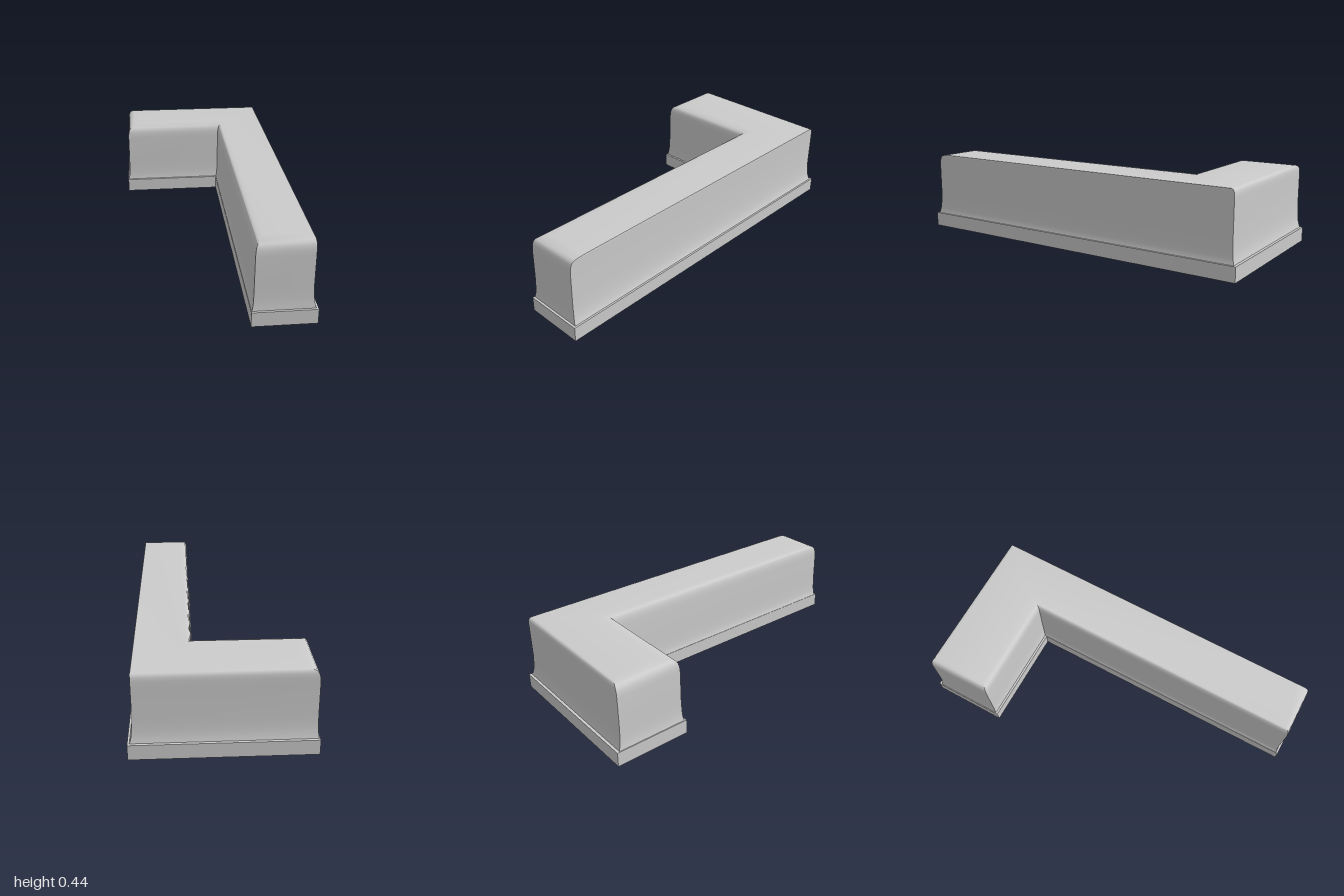
import * as THREE from 'three';
import { toCreasedNormals } from 'three/addons/utils/BufferGeometryUtils.js';

// Footprint lines of the L-shaped block
const X = { left: -0.455, inner: 0.13, right: 0.455 };
const Z = { back: -1, inner: -0.585, front: 1 };

// Heights of the body's rings, and how far each side steps in at each height
const LEVELS = [0.08, 0.09, 0.11, 0.14, 0.2, 0.37, 0.4, 0.42, 0.432, 0.438, 0.44];
const INSET = {
  right: [0.01, 0.014, 0.019, 0.023, 0.027, 0.027, 0.027, 0.027, 0.027, 0.027, 0.0285],
  back: [0.015, 0.018, 0.023, 0.027, 0.03, 0.03, 0.03, 0.031, 0.035, 0.042, 0.05],
  left: [0.005, 0.007, 0.01, 0.012, 0.013, 0.014, 0.016, 0.022, 0.032, 0.05, 0.09],
  front: [0.012, 0.013, 0.016, 0.018, 0.02, 0.02, 0.022, 0.027, 0.036, 0.055, 0.1],
  innerX: [0.002, 0.006, 0.009, 0.011, 0.012, 0.013, 0.015, 0.019, 0.025, 0.035, 0.06],
  innerZ: [0.012, 0.014, 0.017, 0.019, 0.021, 0.021, 0.023, 0.028, 0.037, 0.055, 0.1],
};

// Six corners of the L from its six side lines
function outline(left, right, back, front, innerX, innerZ) {
  return [[left, back], [right, back], [right, front], [innerX, front], [innerX, innerZ], [left, innerZ]];
}

// Body: mitred rings with a flared foot and rounded shoulders
function bodyGeometry() {
  const positions = [];
  const index = [];
  LEVELS.forEach((y, k) => {
    const ring = outline(
      X.left + INSET.left[k], X.right - INSET.right[k],
      Z.back + INSET.back[k], Z.front - INSET.front[k],
      X.inner + INSET.innerX[k], Z.inner - INSET.innerZ[k]);
    for (const [x, z] of ring) positions.push(x, y, z);
  });
  for (let k = 0; k < LEVELS.length - 1; k++) {
    for (let i = 0; i < 6; i++) {
      const a = k * 6 + i;
      const b = k * 6 + (i + 1) % 6;
      index.push(a, a + 6, b, b, a + 6, b + 6);
    }
  }
  // Flat top, fanned from the inner corner
  const top = (LEVELS.length - 1) * 6;
  for (const i of [4, 1, 0, 4, 0, 5, 4, 2, 1, 4, 3, 2]) index.push(top + i);
  const geometry = new THREE.BufferGeometry();
  geometry.setAttribute('position', new THREE.Float32BufferAttribute(positions, 3));
  geometry.setIndex(index);
  return toCreasedNormals(geometry, 0.7);
}

// Plinth: straight L-shaped slab
function plinthGeometry() {
  const corners = outline(X.left, X.right, Z.back, Z.front, X.inner, Z.inner);
  const shape = new THREE.Shape(corners.map(([x, z]) => new THREE.Vector2(x, z)));
  return new THREE.ExtrudeGeometry(shape, { depth: LEVELS[0], bevelEnabled: false })
    .rotateX(Math.PI / 2)
    .translate(0, LEVELS[0], 0);
}

export function createModel() {
  const group = new THREE.Group();
  group.name = 'cornerBlock';
  const material = new THREE.MeshStandardMaterial({ color: 0xcccccc });
  const add = (name, geometry) => {
    const mesh = new THREE.Mesh(geometry, material);
    mesh.name = name;
    group.add(mesh);
  };
  add('plinth', plinthGeometry());
  add('body', bodyGeometry());
  return group;
}
